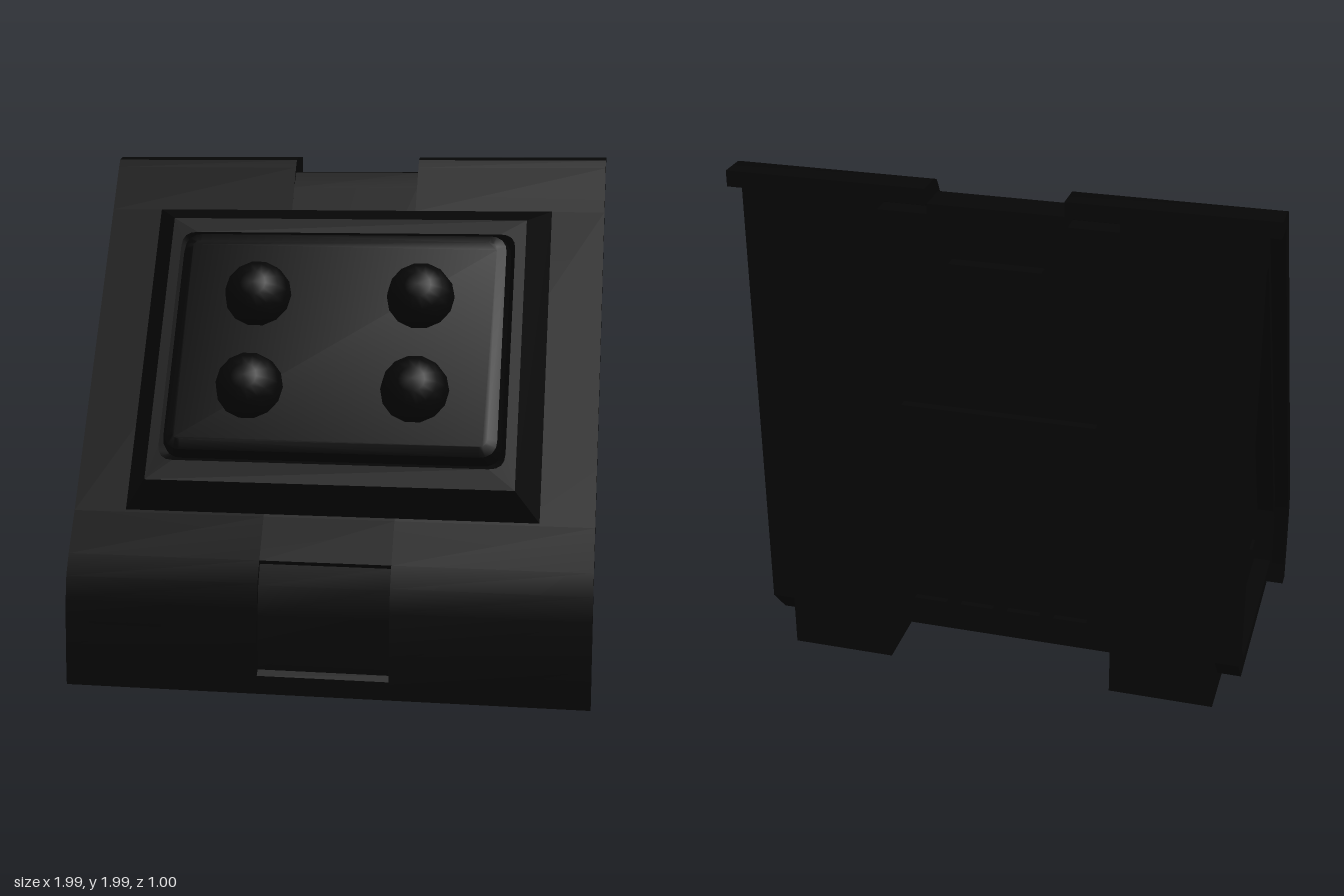
import * as THREE from 'three';
import { toCreasedNormals } from 'three/addons/utils/BufferGeometryUtils.js';

export function createModel() {
  const root = new THREE.Group();
  root.name = 'wedgeConsole';
  const black = new THREE.MeshStandardMaterial({ color: 0x060606 });
  black.name = 'matteBlack';

  function add(geometry, name, parent = root) {
    const mesh = new THREE.Mesh(geometry, black);
    mesh.name = name;
    parent.add(mesh);
    return mesh;
  }
  function box(name, x0, x1, y0, y1, z0, z1, parent = root) {
    const mesh = add(new THREE.BoxGeometry(x1 - x0, y1 - y0, z1 - z0), name, parent);
    mesh.position.set((x0 + x1) / 2, (y0 + y1) / 2, (z0 + z1) / 2);
    return mesh;
  }
  const points = (list) => list.map(([a, b]) => new THREE.Vector2(a, b));

  // Side profile given as [z, y], extruded from x0 to x1
  function prism(name, profile, x0, x1, hole) {
    const shape = new THREE.Shape(points(profile));
    if (hole) shape.holes.push(new THREE.Path(points(hole)));
    const g = new THREE.ExtrudeGeometry(shape, { depth: x1 - x0, bevelEnabled: false });
    g.rotateY(-Math.PI / 2);
    g.translate(x1, 0, 0);
    return add(toCreasedNormals(g, 0.45), name);
  }
  const mirrored = (name, profile, x0, x1, hole) => {
    prism(name + 'Left', profile, x0, x1, hole);
    prism(name + 'Right', profile, -x1, -x0, hole);
  };

  // Front shell: two halves with the top lip, and a centre strip with notch and recess
  const inner = [[0.297, 0.622], [0.38, 0.47], [0.425, 0.33], [0.44, 0.15], [0.44, 0]];
  mirrored('frontShell', [
    [0.497, 0], [0.497, 0.15], [0.485, 0.33], [0.47, 0.42], [0.435, 0.5], [0.35, 0.65],
    [-0.25, 1.78], [-0.34, 1.95], [-0.36, 1.98], [-0.39, 1.99], [-0.497, 1.99],
    [-0.497, 1.93], [-0.398, 1.93], ...inner,
  ], 0.25, 0.994);
  prism('frontShellCentre', [
    [0.497, 0], [0.497, 0.07], [0.48, 0.09], [0.475, 0.3], [0.457, 0.41], [0.425, 0.485],
    [0.435, 0.5], [0.35, 0.65], [-0.298, 1.87], [-0.345, 1.93], [-0.48, 1.93],
    [-0.48, 1.88], [-0.37, 1.86], ...inner,
  ], -0.25, 0.25);
  box('frontSlot', -0.9, -0.62, 0.243, 0.253, 0.485, 0.495);

  // Solid body: rear pillars either side of a recess
  const slope = [[0.45, 0.15], [0.435, 0.3], [0.4, 0.45], [0.3, 0.63]];
  mirrored('rearPillar', [
    [0.45, 0], ...slope, [-0.4, 1.94], [-0.497, 1.94], [-0.497, 0],
  ], 0.445, 0.85);
  prism('centreBody', [
    [0.45, 0.08], ...slope, [-0.37, 1.88], [-0.45, 1.88], [-0.45, 0.2], [-0.36, 0.16], [-0.36, 0.08],
  ], -0.46, 0.46);

  // Side frames with a sunken field and a chamfered lower rear corner
  const field = [
    [0.385, 0.14], [0.385, 0.38], [-0.36, 1.77], [-0.41, 1.77], [-0.41, 0.22], [-0.34, 0.14],
  ];
  mirrored('sideFrame', [
    [0.442, 0.085], [0.442, 0.15], [0.43, 0.31], [0.385, 0.47], [0.3, 0.62],
    [-0.4, 1.94], [-0.49, 1.94], [-0.49, 0.2], [-0.39, 0.085],
  ], 0.84, 0.94, field);
  mirrored('sideField', field, 0.84, 0.872);
  for (const s of [1, -1]) {
    const details = new THREE.Group();
    details.name = s > 0 ? 'sideDetailsLeft' : 'sideDetailsRight';
    root.add(details);
    const plate = (name, y0, y1, z0, z1, h) =>
      box(name, s > 0 ? 0.86 : -0.872 - h, s > 0 ? 0.872 + h : -0.86, y0, y1, z0, z1, details);
    plate('sideHatch', 0.72, 1.02, -0.34, -0.04, 0.012);
    plate('upperTab', 1.14, 1.26, -0.26, -0.2, 0.01);
    plate('lowerTab', 0.25, 0.3, 0.19, 0.27, 0.012);
    const stud = add(new THREE.CylinderGeometry(0.03, 0.03, 0.03, 12), 'sideStud', details);
    stud.rotation.z = Math.PI / 2;
    stud.position.set(s * 0.872, 0.27, -0.13);
  }

  // Back fittings
  box('backPanel', -0.37, 0.37, 0.33, 1.13, -0.485, -0.44);
  box('backLatch', -0.17, 0.17, 1.52, 1.72, -0.5, -0.44);
  for (let i = 0; i < 4; i++) {
    const x = -0.28 + i * 0.187;
    box('connector' + (i + 1), x - 0.065, x + 0.065, 0.17, 0.28, -0.475, -0.34);
  }

  // Underside frame
  for (const s of [1, -1]) {
    const z = 0.02 + s * 0.22;
    box('undersideRail', s * 0.33 - 0.03, s * 0.33 + 0.03, 0.03, 0.09, -0.2, 0.25);
    box('undersideCrossRail', -0.36, 0.36, 0.03, 0.09, z - 0.03, z + 0.03);
  }

  // Stepped panel lying on the slope (local y runs up the slope, z points outward)
  const face = new THREE.Group();
  face.name = 'slopedPanel';
  face.position.set(0, 0.65, 0.35);
  face.rotation.x = -0.488;
  root.add(face);

  function roundedRect(w, y0, y1, r) {
    const s = new THREE.Shape();
    s.moveTo(-w + r, y0);
    s.lineTo(w - r, y0);
    s.quadraticCurveTo(w, y0, w, y0 + r);
    s.lineTo(w, y1 - r);
    s.quadraticCurveTo(w, y1, w - r, y1);
    s.lineTo(-w + r, y1);
    s.quadraticCurveTo(-w, y1, -w, y1 - r);
    s.lineTo(-w, y0 + r);
    s.quadraticCurveTo(-w, y0, -w + r, y0);
    return s;
  }
  function raised(name, shape, base, depth, height, bevel, segments) {
    const g = new THREE.ExtrudeGeometry(shape, {
      depth, bevelThickness: height, bevelSize: bevel, bevelSegments: segments, curveSegments: 4,
    });
    add(toCreasedNormals(g, 0.5), name, face).position.z = base;
  }
  // Mitred step whose opening leaves a fine groove around the inner panel
  const outer = new THREE.Shape(points([[-0.7, 0.1], [0.7, 0.1], [0.7, 1.19], [-0.7, 1.19]]));
  outer.holes.push(new THREE.Path(roundedRect(0.66, 0.18, 1.13, 0.06).getPoints(4).reverse()));
  raised('outerStep', outer, 0, 0.002, 0.108, 0.09, 1);
  raised('innerStep', roundedRect(0.595, 0.245, 1.065, 0.03), 0.04, 0.07, 0.063, 0.05, 2);

  // Four domes
  for (const x of [-0.315, 0.315]) {
    for (const y of [0.461, 0.837]) {
      const g = new THREE.SphereGeometry(0.13, 14, 8);
      g.rotateX(Math.PI / 2);
      add(g, 'dome', face).position.set(x, y, 0.172);
    }
  }
  return root;
}
